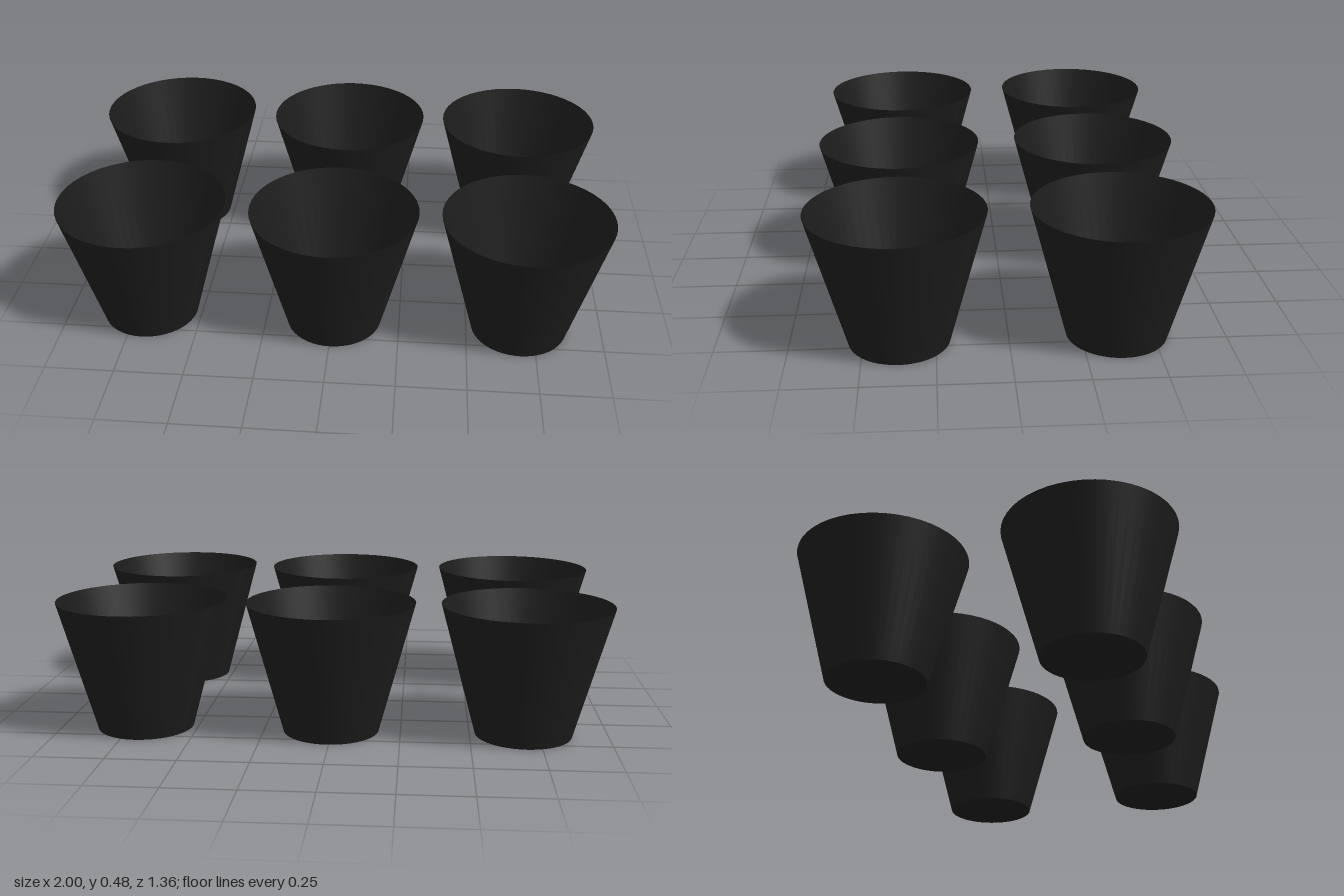
import * as THREE from 'three';

const TOP_RADIUS = 0.305, BASE_RADIUS = 0.175, HEIGHT = 0.48, SIDES = 48;

export function createModel() {
  const model = new THREE.Group();
  model.name = 'cups';
  const material = new THREE.MeshStandardMaterial({ color: 0x1c1c1c, side: THREE.DoubleSide });

  // Thin tapered wall, open at the top
  const wallGeometry = new THREE.CylinderGeometry(TOP_RADIUS, BASE_RADIUS, HEIGHT, SIDES, 1, true);
  wallGeometry.translate(0, HEIGHT / 2, 0);

  // Flat base, facing down
  const baseGeometry = new THREE.CircleGeometry(BASE_RADIUS, SIDES);
  baseGeometry.rotateX(Math.PI / 2);

  // Two rows of three cups
  for (const z of [-0.375, 0.375]) {
    for (const x of [-0.695, 0.005, 0.695]) {
      const cup = new THREE.Group();
      cup.name = 'cup';
      const wall = new THREE.Mesh(wallGeometry, material);
      wall.name = 'cupWall';
      const base = new THREE.Mesh(baseGeometry, material);
      base.name = 'cupBase';
      cup.add(wall, base);
      cup.position.set(x, 0, z);
      model.add(cup);
    }
  }
  return model;
}
